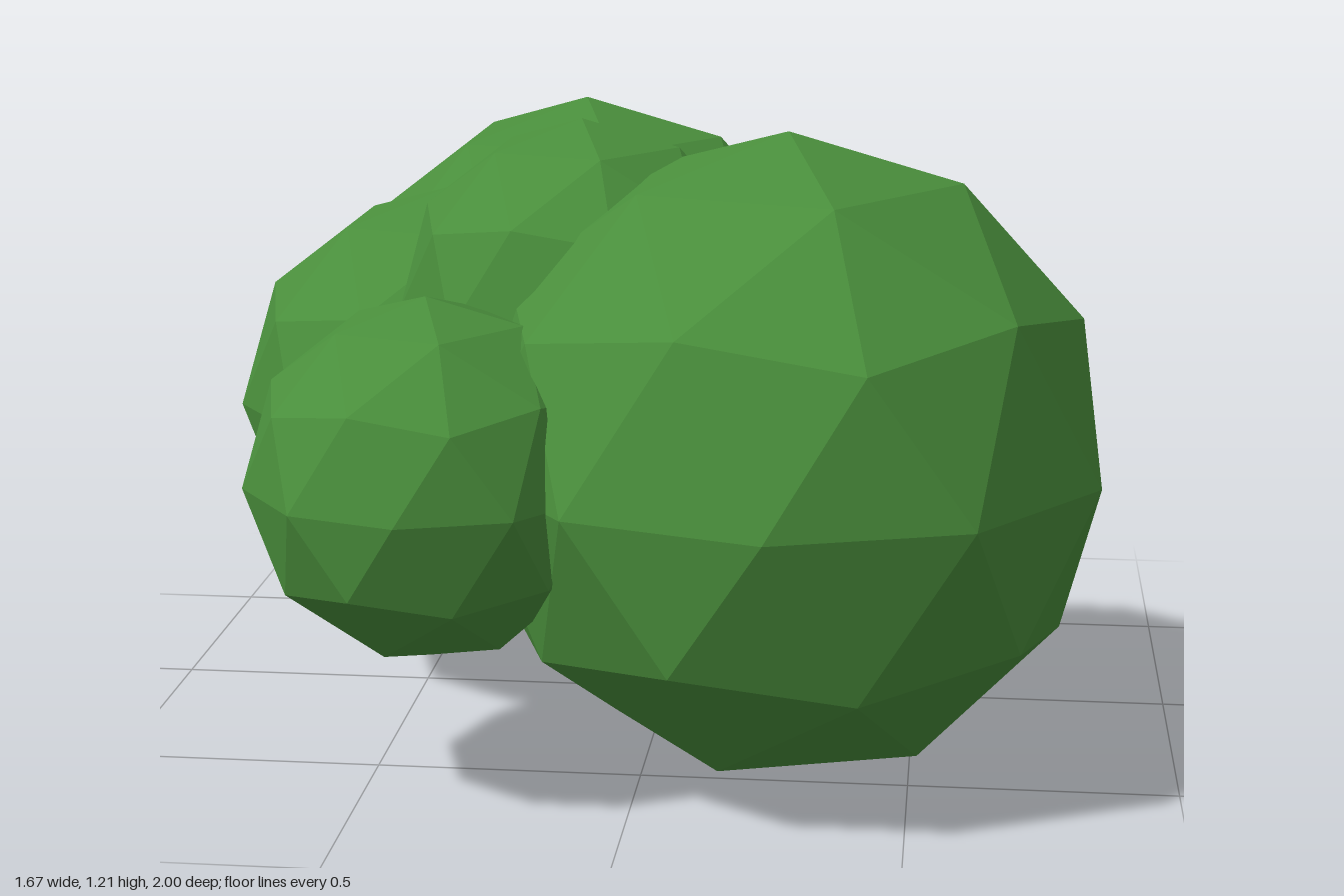
import * as THREE from 'three';

// Faceted leaf clump: an 80-sided icosphere tilted so one vertex points straight up
function clumpGeometry(radius) {
  const geometry = new THREE.IcosahedronGeometry(radius, 1);
  geometry.rotateZ(-Math.atan(2 / (1 + Math.sqrt(5))));
  return geometry;
}

export function createModel() {
  const bush = new THREE.Group();
  bush.name = 'bush';
  const leaves = new THREE.MeshStandardMaterial({ color: 0x4a8f3c, flatShading: true });

  // name, radius, centre
  const clumps = [
    ['largeClump', 0.603, [0.26, 0.605, 0.395]],
    ['backClump', 0.54, [-0.222, 0.61, -0.46]],
    ['rightClump', 0.42, [-0.436, 0.61, 0.005]],
    ['topClump', 0.35, [-0.14, 0.852, 0.225]],
    ['frontClump', 0.333, [-0.365, 0.607, 0.637]],
  ];
  for (const [name, radius, centre] of clumps) {
    const mesh = new THREE.Mesh(clumpGeometry(radius), leaves);
    mesh.name = name;
    mesh.position.set(...centre);
    bush.add(mesh);
  }
  return bush;
}
